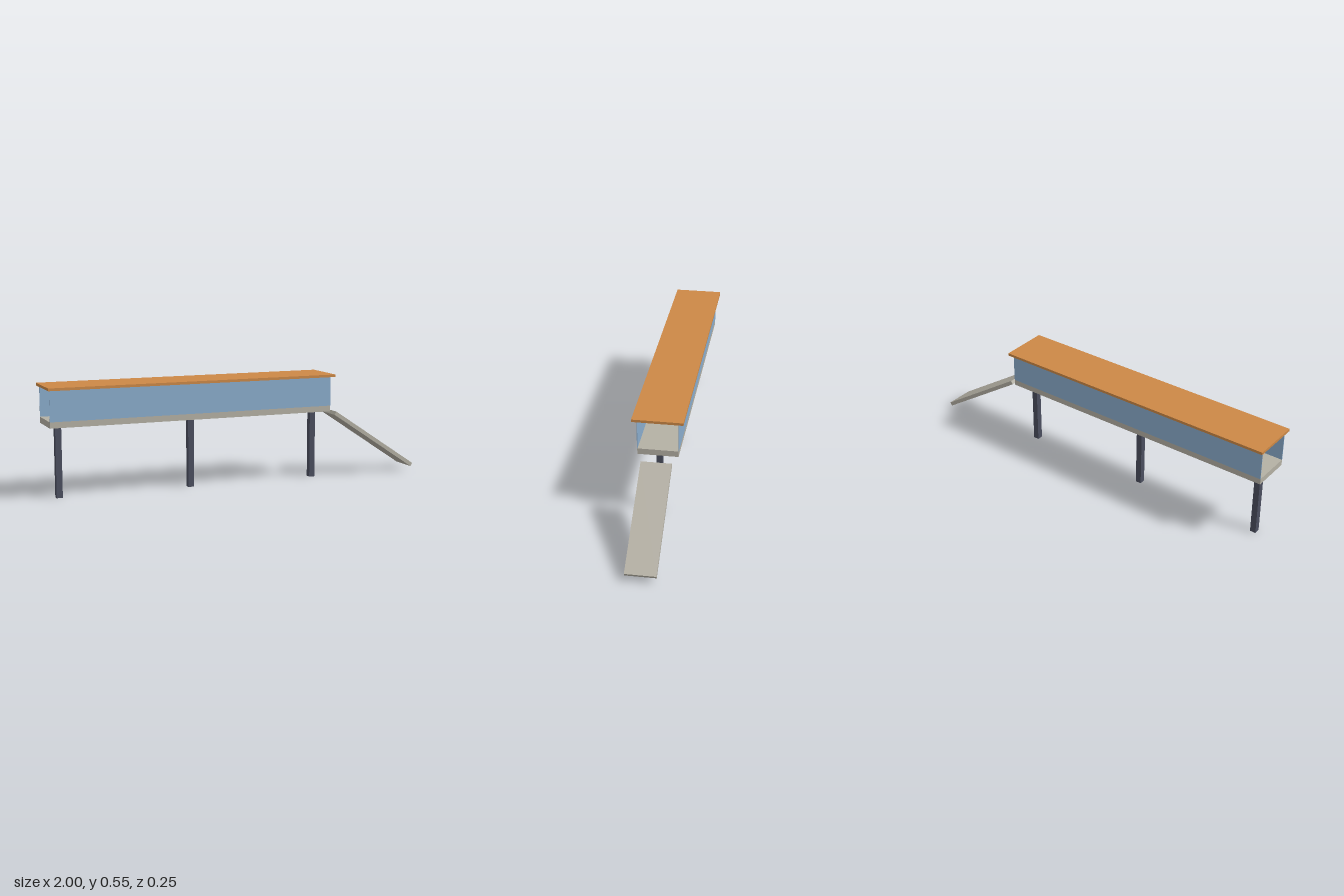
import * as THREE from 'three';

const material = (name, color) => {
  const m = new THREE.MeshStandardMaterial({ color });
  m.name = name;
  return m;
};

export function createModel() {
  const model = new THREE.Group();
  model.name = 'coveredFootbridge';

  const concrete = material('concrete', 0xb4b0a4);
  const glass = material('blueGlass', 0x8aaccc);
  const steel = material('darkSteel', 0x4a4e5e);
  const orange = material('orangeRoof', 0xcc8846);

  const box = (name, mat, size, position) => {
    const mesh = new THREE.Mesh(new THREE.BoxGeometry(...size), mat);
    mesh.name = name;
    mesh.position.set(...position);
    model.add(mesh);
    return mesh;
  };

  // Deck and roof
  box('deck', concrete, [1.475, 0.03, 0.197], [-0.2525, 0.37, 0]);
  box('roof', orange, [1.5, 0.013, 0.246], [-0.25, 0.542, 0]);

  // Thin side walls, stopping just short of the roof
  for (const side of [1, -1]) {
    box(side > 0 ? 'frontWall' : 'backWall', glass,
      [1.475, 0.148, 0.003], [-0.2525, 0.459, side * 0.0985]);
  }

  // Square columns under the deck
  [-0.93, -0.2525, 0.425].forEach((x, i) => {
    box(`column${i + 1}`, steel, [0.03, 0.355, 0.03], [x, 0.1775, 0]);
  });

  // Sloping access ramp
  const ramp = box('ramp', concrete, [0.557, 0.0198, 0.148], [0.7625, 0.1855, 0]);
  ramp.rotation.z = -0.583;

  return model;
}
